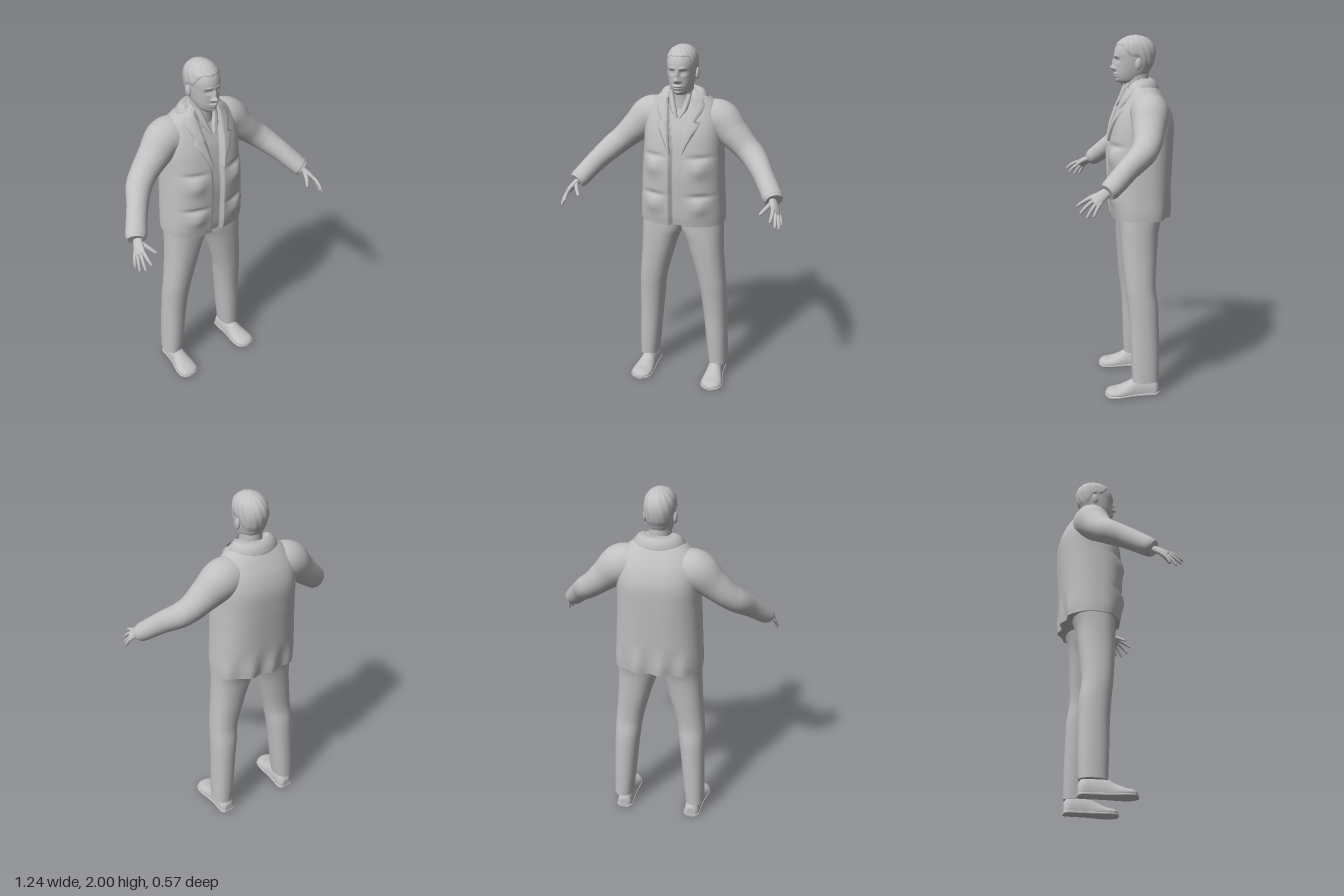
import * as THREE from 'three';

const V = (x, y, z) => new THREE.Vector3(x, y, z);
const bump = (x, y, cx, cy, sx, sy) => Math.exp(-(((x - cx) / sx) ** 2) - ((y - cy) / sy) ** 2);
const step = THREE.MathUtils.smoothstep;

// Smooth table lookup: the first column is an increasing key
function sample(rows, k) {
  const last = rows.length - 1;
  let i = 0;
  while (i < last - 1 && k > rows[i + 1][0]) i++;
  const a = rows[i], b = rows[i + 1], p = rows[Math.max(0, i - 1)], q = rows[Math.min(last, i + 2)];
  const h = b[0] - a[0], t = THREE.MathUtils.clamp((k - a[0]) / h, 0, 1);
  return a.map((_, c) => {
    if (c === 0) return k;
    const m0 = (b[c] - p[c]) / (b[0] - p[0]) * h, m1 = (q[c] - a[c]) / (q[0] - a[0]) * h;
    return a[c] * (1 + 2 * t) * (1 - t) ** 2 + m0 * t * (1 - t) ** 2 + b[c] * t * t * (3 - 2 * t) - m1 * t * t * (1 - t);
  });
}

// Grid surface point(v, u); closed ones wrap around u and get end caps
function skin(nv, nu, point, closed = true) {
  const pos = [], index = [], cols = closed ? nu : nu + 1;
  for (let j = 0; j <= nv; j++)
    for (let i = 0; i < cols; i++) pos.push(...point(j / nv, i / nu).toArray());
  for (let j = 0; j < nv; j++)
    for (let i = 0; i < nu; i++) {
      const a = j * cols + i, b = j * cols + (i + 1) % cols;
      index.push(a, b, b + cols, a, b + cols, a + cols);
    }
  if (closed) for (const j of [0, nv]) {
    const start = pos.length / 3, c = V(0, 0, 0);
    for (let i = 0; i < nu; i++) {
      const p = V(0, 0, 0).fromArray(pos, (j * nu + i) * 3);
      c.addScaledVector(p, 1 / nu);
      pos.push(p.x, p.y, p.z);
    }
    pos.push(c.x, c.y, c.z);
    for (let i = 0; i < nu; i++) {
      const a = start + i, b = start + (i + 1) % nu;
      if (j) index.push(a, b, start + nu); else index.push(b, a, start + nu);
    }
  }
  const g = new THREE.BufferGeometry();
  g.setAttribute('position', new THREE.Float32BufferAttribute(pos, 3));
  g.setIndex(index);
  g.computeVertexNormals();
  return g;
}

// Upright body part from rows of [y, xMin, xMax, zBack, zFront, squareness]
function body(rows, nv, nu, rule = p => p) {
  const y0 = rows[0][0], y1 = rows[rows.length - 1][0];
  return skin(nv, nu, (v, u) => {
    const [y, x0, x1, zb, zf, n] = sample(rows, y0 + (y1 - y0) * v);
    const c = Math.cos(u * 2 * Math.PI), s = Math.sin(u * 2 * Math.PI);
    const r = (Math.abs(c) ** n + Math.abs(s) ** n) ** (-1 / n);
    return rule(V((x0 + x1) / 2 + (x1 - x0) / 2 * c * r, y, (zb + zf) / 2 - (zf - zb) / 2 * s * r), -s * r);
  });
}

// Limb along rows of [x, y, z, radius along ref, radius across]
function limb(rows, ref, nv, nu) {
  const path = new THREE.CatmullRomCurve3(rows.map(r => V(r[0], r[1], r[2])));
  const radii = rows.map((r, i) => [i / (rows.length - 1), r[3], r[4]]);
  return skin(nv, nu, (v, u) => {
    const t = path.getTangent(v), [, r1, r2] = sample(radii, v);
    const n = ref.clone().addScaledVector(t, -ref.dot(t)).normalize(), b = t.clone().cross(n);
    return path.getPoint(v).addScaledVector(n, r1 * Math.cos(u * 2 * Math.PI)).addScaledVector(b, r2 * Math.sin(u * 2 * Math.PI));
  });
}

function mirrored(g) {
  const m = g.clone().scale(-1, 1, 1), a = m.index.array;
  for (let i = 0; i < a.length; i += 3) [a[i], a[i + 1]] = [a[i + 1], a[i]];
  m.computeVertexNormals();
  return m;
}

const TRUNK = [
  [1.01, .243, -.262, .062, 2.5], [1.06, .243, -.268, .07, 2.5], [1.15, .238, -.272, .074, 2.5], [1.3, .23, -.28, .08, 2.5],
  [1.42, .224, -.286, .07, 2.5], [1.53, .222, -.286, .05, 2.5], [1.61, .215, -.264, .022, 2.4],
  [1.67, .19, -.23, -.004, 2.3], [1.72, .14, -.195, -.02, 2.2], [1.76, .075, -.165, -.035, 2],
].map(([y, hx, zb, zf, n]) => [y, -hx, hx, zb, zf, n]);

function chest(x, y) {
  const [, , hx, zb, zf, n] = sample(TRUNK, y);
  return (zb + zf) / 2 + (zf - zb) / 2 * Math.max(0, 1 - Math.abs(x / hx) ** n) ** (1 / n);
}

// Thin cloth panel lying on the chest from rows of [y, inner x, outer x]
function panel(rows, lift) {
  const us = [0, .04, .35, .65, .96, 1];
  return skin(rows.length - 1, 5, (v, u) => {
    const [y, a, b] = rows[Math.round(v * (rows.length - 1))], i = Math.round(u * 5);
    const x = a + (b - a) * us[i];
    return V(x, y, chest(x, y) + (i % 5 ? lift : -.004));
  }, false);
}

const HEAD = [
  [1.74, .028, -.07, .0, 2], [1.755, .047, -.11, .02, 2.1], [1.79, .062, -.145, .03, 2.2], [1.83, .071, -.166, .033, 2.2],
  [1.87, .076, -.18, .036, 2.2], [1.91, .078, -.184, .038, 2.2], [1.95, .071, -.173, .022, 2.1],
  [1.98, .05, -.145, -.01, 2], [1.995, .024, -.11, -.045, 2], [2, .003, -.08, -.074, 2],
].map(([y, hx, zb, zf, n]) => [y, -hx, hx, zb, zf, n]);

export function createModel() {
  const model = new THREE.Group();
  const grey = new THREE.MeshStandardMaterial({ color: 0xc0c0c0, side: THREE.DoubleSide });
  grey.name = 'plain grey';
  const add = (name, g) => {
    const m = new THREE.Mesh(g, grey);
    m.name = name;
    model.add(m);
    return m;
  };
  const pair = (name, g) => { add('left' + name, g); add('right' + name, mirrored(g)); };

  // Jacket with a recessed opening, bulging pockets and soft back folds
  add('jacket', body(TRUNK, 90, 160, (p, side) => {
    const x = Math.abs(p.x);
    if (side > 0) {
      const w = .033 + .035 * step(p.y, 1.42, 1.7);
      p.z -= .02 * (1 - step(x, w - .005, w + .005)) * step(side, .3, .6);
      for (const y of [1.35, 1.13]) {
        p.z += .02 * bump(x, p.y, .14, y, .055, .05) * side;
        p.z -= .014 * bump(x, p.y, .14, y + .06, .06, .015) * side;
      }
    } else {
      p.z += .01 * Math.sin(p.x * 48) * (1 - step(p.y, 1.02, 1.2)) * -side;
    }
    return p;
  }));
  pair('Lapel', panel([[1.43, .034, .038], [1.48, .038, .06], [1.54, .045, .095], [1.595, .052, .124],
    [1.61, .054, .098], [1.64, .058, .12], [1.68, .062, .135], [1.72, .066, .125]], .014));
  pair('ShirtCollar', panel([[1.62, .004, .012], [1.66, .012, .045], [1.7, .026, .055], [1.745, .04, .06]], .012));

  // Folded collar around the neck
  const fold = [[.066, 1.745], [.08, 1.77], [.11, 1.758], [.138, 1.722], [.13, 1.69]];
  add('jacketCollar', skin(40, 4, (v, u) => {
    const a = (v - .5) * 4.5, [r, y] = fold[Math.round(u * 4)];
    return V(Math.sin(a) * r, y - .06 * Math.max(0, -Math.cos(a)), -.097 - Math.cos(a) * r * .8);
  }, false));

  // Head, face and hair
  add('neck', body([[1.66, -.07, .07, -.15, -.02, 2], [1.72, -.06, .06, -.15, -.02, 2], [1.82, -.058, .058, -.15, -.01, 2]], 12, 32));
  add('head', body(HEAD, 90, 112, (p, side) => {
    if (side <= 0) return p;
    const x = Math.abs(p.x), y = p.y;
    p.z += side * (.026 * bump(x, y, 0, 1.825, .013, .013) + .016 * bump(x, y, 0, 1.853, .01, .024)
      + .008 * bump(x, y, .015, 1.82, .007, .008) - .013 * bump(x, y, .03, 1.866, .015, .011)
      + .006 * bump(x, y, .03, 1.865, .009, .005) + .006 * bump(x, y, .028, 1.888, .02, .008)
      + .014 * bump(x, y, 0, 1.793, .022, .006) + .012 * bump(x, y, 0, 1.78, .02, .006)
      + .009 * bump(x, y, 0, 1.757, .02, .012));
    return p;
  }));
  add('hair', skin(28, 120, (v, u) => {
    const s = Math.sin(u * 2 * Math.PI), c = Math.cos(u * 2 * Math.PI);
    const low = s > 0 ? 1.885 - .065 * step(s, 0, .7) : 1.885 + .062 * step(-s, .15, .8);
    const [y, , hx, zb, zf, n] = sample(HEAD, low + (2 - low) * v);
    const r = (Math.abs(c) ** n + Math.abs(s) ** n) ** (-1 / n);
    const grow = Math.min(1, v * 8) * (.004 + .0015 * Math.sin(u * 30 * Math.PI + 9 * v));
    return V((hx + grow) * c * r, y, (zb + zf) / 2 - ((zf - zb) / 2 + grow) * s * r);
  }));
  pair('Ear', new THREE.SphereGeometry(1, 16, 12).scale(.011, .032, .019).rotateX(-.15).translate(.079, 1.847, -.085));

  // Sleeves
  const up = V(0, 1, 0);
  pair('Sleeve', limb([[.12, 1.6, -.125, .1, .1], [.2, 1.588, -.13, .108, .103], [.28, 1.522, -.115, .086, .088],
    [.36, 1.45, -.095, .07, .075], [.41, 1.408, -.065, .066, .07], [.475, 1.343, .015, .058, .057],
    [.55, 1.255, .115, .05, .056], [.56, 1.245, .132, .042, .047]], up, 56, 32));

  // Hands: flat palm, four fingers and a thumb
  const spread = V(.408, -.408, -.816), knuckle = V(.583, 1.205, .195);
  pair('Palm', limb([[.54, 1.258, .1, .024, .02], [.56, 1.236, .145, .028, .018], [.576, 1.216, .178, .034, .016],
    [.584, 1.204, .198, .034, .012], [.586, 1.201, .204, .02, .006]], spread, 20, 20));
  const tips = [['Index', -.026, [.568, 1.177, .285]], ['Middle', -.009, [.594, 1.145, .27]],
    ['Ring', .009, [.61, 1.125, .237]], ['Little', .025, [.617, 1.132, .202]]];
  const finger = (a, b, w) => limb([0, .35, .7, .95, 1].map((t, i) => {
    const p = a.clone().lerp(b, t).add(V(.004, .006, .002).multiplyScalar(Math.sin(t * Math.PI)));
    const r = w * [1.1, 1.05, .9, .65, .15][i];
    return [p.x, p.y, p.z, r, r];
  }), spread, 14, 10);
  for (const [name, s, tip] of tips)
    pair(name + 'Finger', finger(knuckle.clone().addScaledVector(spread, s).add(V(-.004, .006, -.012)), V(...tip), .0095));
  pair('Thumb', finger(V(.553, 1.238, .15), V(.504, 1.195, .238), .0115));

  // Trousers
  pair('TrouserLeg', body([
    [.085, .163, .275, -.19, -.04, 2.3], [.2, .15, .273, -.192, -.034, 2.3], [.4, .13, .268, -.19, -.026, 2.2],
    [.52, .116, .265, -.186, -.016, 2.2], [.62, .102, .26, -.173, -.004, 2.2], [.8, .055, .244, -.182, .012, 2.3],
    [.9, .022, .239, -.19, .018, 2.3], [.96, -.004, .237, -.198, .02, 2.4], [1.05, -.02, .235, -.225, .02, 2.4]], 60, 40));

  // Shoes: rows of [z, centre x, half width, top]
  const SHOE = [[-.19, .208, .026, .06], [-.175, .208, .042, .09], [-.12, .209, .045, .105], [-.055, .212, .048, .1],
    [-.01, .215, .055, .075], [.045, .219, .062, .052], [.085, .22, .055, .045], [.105, .22, .035, .034], [.113, .22, .012, .022]];
  const shoe = (grow, top) => skin(40, 36, (v, u) => {
    const [z, cx, w, h] = sample(SHOE, -.19 + .303 * v), c = Math.cos(u * 2 * Math.PI), s = Math.sin(u * 2 * Math.PI);
    const r = (c ** 4 + s ** 4) ** -.25, q = top ? 1 : r;
    return top ? V(cx + w * c * q, Math.max(.008, .02 + (h - .02) * s), z)
      : V(cx + (w + grow) * c * q, .009 + .009 * s * q, z * 1.015);
  });
  pair('Shoe', shoe(0, true));
  pair('Sole', shoe(.004, false));

  return model;
}
